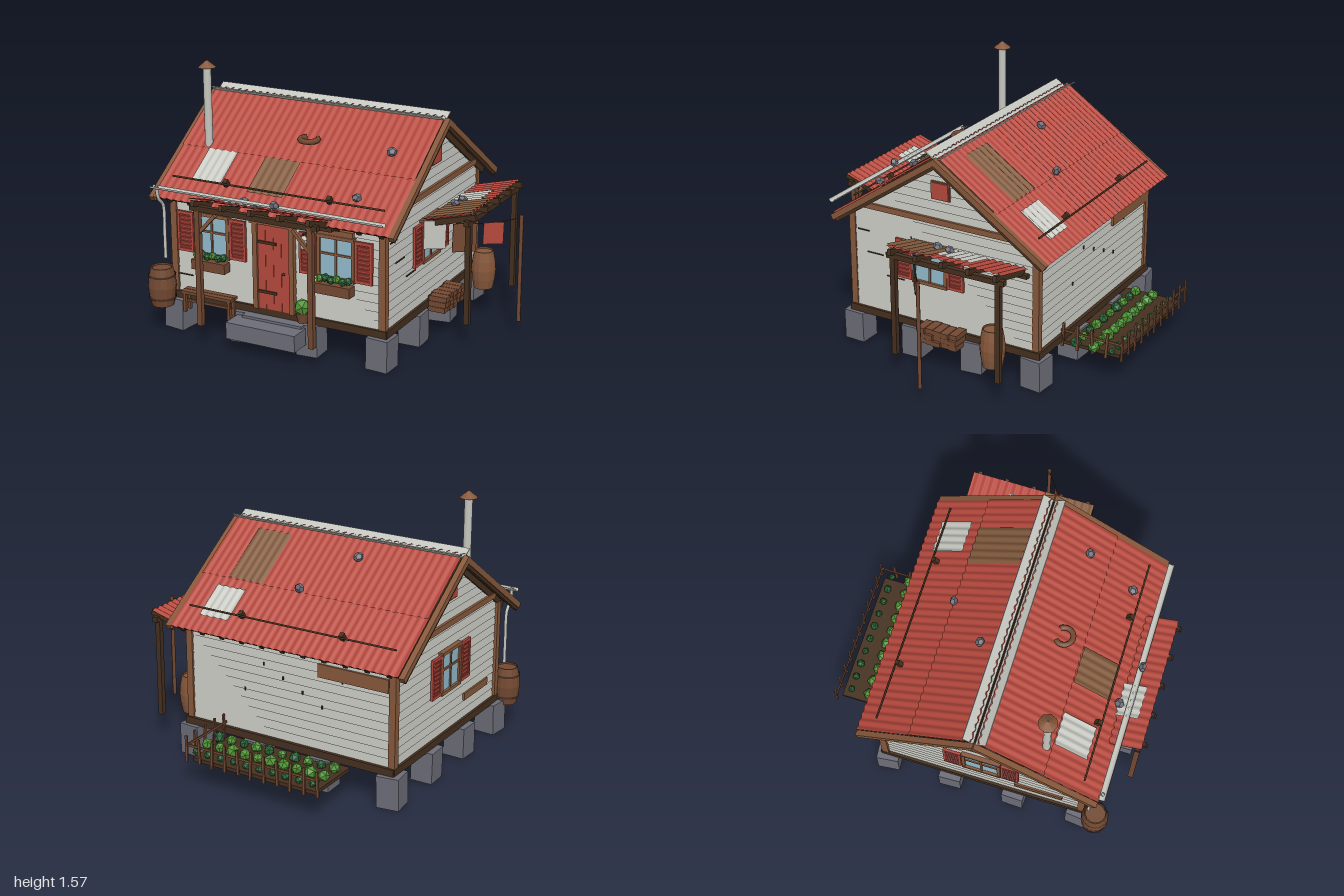
import * as THREE from 'three';

const mat = (name, color) => new THREE.MeshStandardMaterial({ name, color, side: THREE.DoubleSide });
const M = {
  red: mat('red paint', 0xb5483d), pale: mat('off-white', 0xc7c7c1), wood: mat('brown wood', 0x87583b),
  mid: mat('weathered brown', 0x734932), dark: mat('dark wood', 0x45301f), stone: mat('grey stone', 0x6c6d77),
  glass: mat('window glass', 0x93bccd), leaf: mat('leaf green', 0x4f9434), leafDark: mat('dark leaf', 0x2a6838),
  rust: mat('rusty metal', 0x80593c),
};
const add = (p, name, geo, m, x = 0, y = 0, z = 0, rx = 0, ry = 0, rz = 0) => {
  const o = new THREE.Mesh(geo, m);
  o.name = name; o.position.set(x, y, z); o.rotation.set(rx, ry, rz); p.add(o);
  return o;
};
const box = (p, name, m, w, h, d, ...at) => add(p, name, new THREE.BoxGeometry(w, h, d), m, ...at);
const cyl = (p, name, m, r0, r1, h, n, ...at) => add(p, name, new THREE.CylinderGeometry(r1, r0, h, n), m, ...at);
const group = (p, name, x = 0, y = 0, z = 0, rx = 0, ry = 0) => {
  const g = new THREE.Group();
  g.name = name; g.position.set(x, y, z); g.rotation.set(rx, ry, 0); p.add(g);
  return g;
};
// Corrugated sheet lying flat, waves running along x
const sheet = (p, name, m, x0, x1, z0, z1, y) => {
  const w = x1 - x0, cx = (x0 + x1) / 2, geo = new THREE.PlaneGeometry(w, z1 - z0, Math.ceil(w / 0.008), 1);
  geo.rotateX(-Math.PI / 2);
  const a = geo.attributes.position;
  for (let i = 0; i < a.count; i++) a.setY(i, 0.005 * Math.sin((a.getX(i) + cx) * 2 * Math.PI / 0.048));
  geo.computeVertexNormals();
  add(p, name, geo, m, cx, y, (z0 + z1) / 2);
};
const rock = (p, x, y, z, r = 0.03) => add(p, 'roofStone', new THREE.DodecahedronGeometry(r), M.stone, x, y, z, x * 9, z * 7).scale.set(1, 0.75, 1);
const XC = -0.185, ZC = 0.07, RIDGE = 1.315, RZ = 0.065, PITCH = 0.594, C = Math.cos(PITCH), LEN = 0.875;
const PI = Math.PI;

function foundation(g) {
  [-0.86, -0.415, 0.025, 0.475].forEach((x, i) => [0.68, 0.27, -0.135, -0.54].forEach((z, j) => {
    if (i % 3 && j % 3) return;
    box(g, 'footing', M.stone, 0.135, 0.19, 0.135, x, 0.1, z, 0, 0.07 * ((i * 3 + j * 5) % 4 - 1.5), 0.02 * ((i + j) % 3 - 1));
  }));
  box(g, 'lowerStep', M.stone, 0.45, 0.1, 0.13, -0.195, 0.13, 0.82);
  box(g, 'upperStep', M.stone, 0.39, 0.1, 0.08, -0.18, 0.145, 0.74);
  for (let i = 0; i < 14; i++) box(g, 'floorPlank', M.mid, 1.4, 0.03, 0.086, XC, 0.212, -0.53 + i * 0.0925);
  for (const z of [0.7, -0.565]) box(g, 'sillBeam', M.dark, 1.41, 0.045, 0.035, XC, 0.215, z);
  for (const x of [-0.875, 0.505]) box(g, 'sillBeam', M.dark, 0.035, 0.045, 1.29, x, 0.215, ZC);
}

// Local z points out of the wall
function windowUnit(p, x, z, ry, planter) {
  const g = group(p, 'window', x, 0.62, z, 0, ry);
  box(g, 'pane', M.glass, 0.2, 0.23, 0.008, 0, 0, 0.018);
  for (const s of [-1, 1]) {
    box(g, 'jamb', M.wood, 0.02, 0.25, 0.03, s * 0.108, 0, 0.018);
    box(g, 'rail', M.wood, 0.236, 0.02, 0.035, 0, s * 0.122, 0.02);
    const q = group(g, 'shutter', s * 0.176, 0, 0.026);
    box(q, 'back', M.red, 0.09, 0.23, 0.006);
    for (const k of [-1, 1]) {
      box(q, 'stile', M.red, 0.016, 0.245, 0.016, k * 0.046, 0, 0.002);
      box(q, 'end', M.red, 0.1, 0.018, 0.016, 0, k * 0.113, 0.002);
    }
    for (let i = 0; i < 8; i++) box(q, 'louvre', M.red, 0.08, 0.022, 0.005, 0, -0.091 + i * 0.026, 0.006, 0.5);
  }
  box(g, 'mullion', M.wood, 0.012, 0.23, 0.012, 0, 0, 0.024);
  box(g, 'transom', M.wood, 0.2, 0.012, 0.012, 0, 0.02, 0.024);
  if (!planter) return;
  box(g, 'lintel', M.wood, 0.22, 0.04, 0.03, 0, 0.145, 0.018);
  box(g, 'flowerBox', M.mid, 0.225, 0.06, 0.06, 0, -0.175, 0.05);
  for (let i = 0; i < 6; i++)
    add(g, 'boxPlant', new THREE.IcosahedronGeometry(0.025), i % 3 ? M.leafDark : M.leaf, -0.09 + i * 0.036, -0.125 + (i % 2) * 0.01, 0.05, i, i);
}

function walls(g) {
  const hw = (y) => Math.max(0, Math.min(0.62, (1.28 - y) / 0.676));
  const s = new THREE.Shape();
  [[-0.62, 0.22], [0.62, 0.22], [0.62, 0.861], [0, 1.28], [-0.62, 0.861]].forEach(([a, b], i) => i ? s.lineTo(a, b) : s.moveTo(a, b));
  add(g, 'wallCore', new THREE.ExtrudeGeometry(s, { depth: 1.36, bevelEnabled: false }), M.pale, XC - 0.68, 0, ZC, 0, PI / 2);
  // Lapped siding on all four sides
  const sides = [[XC, 0.69, 0, 0], [XC, -0.55, PI, 0], [0.495, ZC, PI / 2, 1], [-0.865, ZC, -PI / 2, 1]];
  for (const [x, z, ry, gable] of sides) {
    const w = group(g, 'siding', x, 0, z, 0, ry);
    for (let y = 0.235; y < (gable ? 1.25 : 0.82); y += 0.052) {
      const a = gable ? hw(y) : 0.68, b = gable ? hw(y + 0.056) : 0.68, t = new THREE.Shape();
      t.moveTo(-a, 0); t.lineTo(a, 0); t.lineTo(b, 0.056); t.lineTo(-b, 0.056);
      add(w, 'board', new THREE.ExtrudeGeometry(t, { depth: 0.006, bevelEnabled: false }), M.pale, 0, y, 0.006, -0.13);
    }
    if (!gable) continue;
    box(w, 'tieBeam', M.wood, 1.13, 0.035, 0.03, 0, 0.9, 0.012);
    box(w, 'ventFrame', M.wood, 0.125, 0.11, 0.02, 0, 1.09, 0.01);
    box(w, 'vent', M.red, 0.11, 0.097, 0.008, 0, 1.09, 0.022);
  }
  for (const x of [-0.87, 0.49]) for (const z of [0.69, -0.55]) box(g, 'cornerPost', M.wood, 0.042, 0.61, 0.042, x, 0.535, z);
  // Cracks and repair boards
  for (const [y, z, w] of [[0.735, 0.61, 0.08], [0.6, 0.53, 0.11], [0.475, 0.39, 0.12]]) box(g, 'crack', M.dark, 0.006, 0.006, w, 0.511, y, z);
  box(g, 'crack', M.dark, 0.1, 0.006, 0.006, -0.8, 0.345, 0.706);
  for (let i = 0; i < 6; i++) box(g, 'crack', M.dark, 0.008, 0.02, 0.006, 0.1 - i * 0.13, 0.5 + (i * 7 % 4) * 0.06, -0.567);
  box(g, 'repairBoard', M.wood, 0.45, 0.08, 0.015, -0.62, 0.72, -0.567);
  box(g, 'repairBoard', M.wood, 0.015, 0.045, 0.3, -0.88, 0.37, 0.42);
  windowUnit(g, -0.605, 0.69, 0, true);
  windowUnit(g, 0.205, 0.69, 0, true);
  windowUnit(g, 0.495, 0.145, PI / 2);
  windowUnit(g, -0.865, 0.07, -PI / 2);
  // Door
  const d = group(g, 'door', -0.193, 0, 0.7);
  for (let i = 0; i < 4; i++) box(d, 'doorPlank', M.red, 0.05, 0.51, 0.02, -0.077 + i * 0.0515, 0.49, 0.01);
  for (const k of [-1, 1]) box(d, 'doorJamb', M.wood, 0.03, 0.56, 0.04, k * 0.119, 0.51, 0.01);
  box(d, 'doorLintel', M.wood, 0.3, 0.055, 0.045, 0, 0.775, 0.012);
  for (const y of [0.34, 0.64]) box(d, 'hinge', M.dark, 0.12, 0.016, 0.008, -0.04, y, 0.024);
  add(d, 'knob', new THREE.SphereGeometry(0.009, 8, 6), M.dark, 0.07, 0.47, 0.03);
}

function roof(g) {
  for (const s of [1, -1]) {
    const r = group(g, s > 0 ? 'frontSlope' : 'backSlope', 0, RIDGE, RZ, s * PITCH);
    const strip = (name, m, x0, x1, t0, t1, y) => sheet(r, name, m, x0, x1, Math.min(s * t0, s * t1), Math.max(s * t0, s * t1), y);
    strip('upperSheets', M.red, -0.952, 0.562, 0.015, 0.475, 0.008);
    strip('lowerSheets', M.red, -0.952, 0.562, 0.45, LEN, 0);
    box(r, 'roofDeck', M.dark, 1.5, 0.012, LEN - 0.02, -0.195, -0.016, s * LEN / 2);
    for (const x of [-0.968, 0.577]) {
      box(r, 'bargeBoard', M.wood, 0.034, 0.035, LEN, x, -0.022, s * LEN / 2);
      box(r, 'bargeTrim', M.dark, 0.02, 0.02, LEN - 0.02, x, -0.048, s * LEN / 2);
    }
    for (let i = 0; i < 11; i++) box(r, 'rafter', M.dark, 0.028, 0.035, LEN - 0.05, -0.87 + i * 0.137, -0.04, s * (LEN / 2 + 0.005));
    // Patches
    const patches = s > 0 ? [[M.pale, -0.76, -0.565, 0.46, 0.655], [M.rust, -0.38, -0.155, 0.46, 0.68]]
      : [[M.pale, 0.205, 0.405, -0.57, -0.38], [M.rust, 0.135, 0.37, -0.325, -0.005]];
    for (const [m, x0, x1, z0, z1] of patches) strip('roofPatch', m, x0, x1, Math.abs(z0 - RZ) / C, Math.abs(z1 - RZ) / C, 0.014);
    // Snow rail and stones
    cyl(r, 'snowRail', M.dark, 0.006, 0.006, 1.37, 6, -0.195, 0.03, s * 0.727, 0, 0, PI / 2);
    for (const x of [-0.53, 0.14]) box(r, 'railBracket', M.dark, 0.026, 0.04, 0.03, x, 0.02, s * 0.71);
    const rocks = s > 0 ? [[0.365, 0.33], [0.295, 0.62]] : [[-0.12, -0.315], [-0.365, -0.075]];
    for (const [x, z] of rocks) rock(r, x, 0.028, s * Math.abs(z - RZ) / C);
    // Upturned ridge flashing
    box(g, 'ridgeFlashing', M.pale, 1.52, 0.006, 0.075, -0.195, 1.313, RZ + s * 0.035, -s * 0.55);
  }
  add(g, 'gutter', new THREE.CylinderGeometry(0.018, 0.018, 1.5, 8, 1, true, PI, PI), M.pale, -0.2, 0.9, 0.807, 0, 0, PI / 2);
  const pipe = new THREE.CatmullRomCurve3([[0.9, 0.805], [0.82, 0.79], [0.77, 0.745], [0.6, 0.74], [0.44, 0.74]].map(([y, z]) => new THREE.Vector3(-0.915, y, z)));
  add(g, 'downpipe', new THREE.TubeGeometry(pipe, 16, 0.01, 8), M.pale);
  // Stove pipe
  cyl(g, 'stovePipe', M.pale, 0.024, 0.024, 0.5, 12, -0.79, 1.28, 0.43);
  cyl(g, 'pipeCap', M.wood, 0.055, 0.003, 0.042, 8, -0.79, 1.555, 0.43);
  add(g, 'horseshoe', new THREE.TorusGeometry(0.052, 0.017, 6, 14, PI * 1.5), M.mid, -0.165, 1.16, 0.345, PI / 2, 0, -PI / 4);
}

// Lean-to canopy, local z runs outward and upward
function awning(p, name, x, y, z, ry, w, depth, rise, postZ, postX, postMat, patches) {
  const g = group(p, name, x, 0, z, 0, ry), a = Math.atan2(rise, depth), L = Math.hypot(rise, depth);
  const t = group(g, 'canopy', 0, y, 0, -a);
  sheet(t, 'canopySheet', M.red, -w / 2, w / 2, 0.02, L, 0.012);
  for (const [m, x0, x1, z0, z1] of patches) sheet(t, 'canopyPatch', m, x0, x1, z0, z1, 0.022);
  for (let i = 0; i < 5; i++) box(t, 'canopyRafter', M.dark, 0.024, 0.035, L + 0.01, (i - 2) * (w - 0.08) / 4, -0.016, L / 2 + 0.01);
  const top = y + rise * postZ / depth - 0.04;
  box(g, 'canopyBeam', M.dark, w, 0.032, 0.032, 0, top, postZ);
  box(g, 'wallPlate', M.dark, w, 0.025, 0.03, 0, y - 0.03, 0.025);
  for (const s of [-1, 1]) box(g, 'canopyPost', postMat, 0.032, top - 0.15, 0.032, s * postX, (top + 0.15) / 2, postZ);
  return g;
}

function barrel(p, x, y, z, r, m, hoops) {
  const g = group(p, 'barrel', x, y, z);
  const prof = [[0, 0], [0.78, 0], [0.93, 0.06], [1, 0.118], [0.93, 0.176], [0.78, 0.236], [0.7, 0.236], [0.7, 0.226], [0, 0.226]];
  const geo = new THREE.LatheGeometry(prof.map(([a, b]) => new THREE.Vector2(a * r, b)), 14).toNonIndexed();
  geo.computeVertexNormals();
  add(g, 'staves', geo, m);
  for (const h of hoops)
    add(g, 'hoop', new THREE.CylinderGeometry(r * 0.925 + 0.003, r * 0.925 + 0.003, 0.014, 14, 1, true), M.dark, 0, h, 0);
}

function yard(g) {
  barrel(g, -0.915, 0.165, 0.785, 0.084, M.mid, [0.05, 0.186]);
  barrel(g, 0.645, 0.16, -0.35, 0.075, M.wood, []);
  // Bench
  for (const z of [0.76, 0.8]) box(g, 'benchSlat', M.mid, 0.34, 0.018, 0.036, -0.595, 0.28, z);
  for (const x of [-0.745, -0.445]) for (const z of [0.755, 0.805]) box(g, 'benchLeg', M.mid, 0.018, 0.115, 0.018, x, 0.215, z);
  box(g, 'benchStretcher', M.mid, 0.3, 0.014, 0.014, -0.595, 0.22, 0.78);
  // Potted plant and lantern
  cyl(g, 'pot', M.mid, 0.03, 0.042, 0.06, 10, 0.015, 0.25, 0.76);
  add(g, 'potPlant', new THREE.IcosahedronGeometry(0.052), M.leaf, 0.015, 0.31, 0.76, 0.3, 0.5);
  cyl(g, 'lantern', M.pale, 0.02, 0.024, 0.055, 6, 0.02, 0.685, 0.745);
  cyl(g, 'lanternTop', M.pale, 0.03, 0.005, 0.02, 6, 0.02, 0.722, 0.745);
  box(g, 'lanternArm', M.dark, 0.01, 0.01, 0.06, 0.02, 0.74, 0.725);
  // Stacked firewood
  for (let r = 0; r < 3; r++) for (let i = 0; i < 5; i++)
    box(g, 'firewood', M.mid, 0.11, 0.03, 0.05, 0.57 + 0.006 * ((i + r) % 3), 0.182 + r * 0.034, 0.145 - i * 0.054);
  box(g, 'woodBase', M.dark, 0.1, 0.09, 0.26, 0.565, 0.213, 0.037);
  // Clothesline with washing
  const A = new THREE.Vector3(0.52, 0.77, 0.27), B = new THREE.Vector3(0.985, 0.74, -0.08);
  cyl(g, 'linePole', M.mid, 0.012, 0.012, 0.655, 6, 0.985, 0.427, -0.08);
  const line = new THREE.QuadraticBezierCurve3(A, new THREE.Vector3(0.75, 0.68, 0.095), B);
  add(g, 'clothesline', new THREE.TubeGeometry(line, 12, 0.003, 5), M.dark);
  for (const [t, m, w, h] of [[0.13, M.pale, 0.13, 0.17], [0.43, M.mid, 0.14, 0.17], [0.72, M.red, 0.12, 0.13]]) {
    const c = line.getPoint(t);
    box(g, 'washing', m, w, h, 0.006, c.x, c.y - h / 2, c.z, 0, Math.atan2(0.35, 0.465), -0.03);
  }
}

function garden(g) {
  box(g, 'gardenBed', M.dark, 0.82, 0.022, 0.36, -0.2, 0.172, -0.755);
  for (let i = 0; i < 10; i++) [[-0.89, 0.024, M.leafDark], [-0.775, 0.037, M.leaf], [-0.66, 0.032, i % 2 ? M.leafDark : M.leaf]].forEach(([z, r, m], j) =>
    add(g, 'cabbage', new THREE.IcosahedronGeometry(r * (0.9 + 0.1 * ((i + j) % 3))), m, -0.56 + i * 0.087, 0.2, z, i, j + i));
  // Picket fence
  for (let i = 0; i < 11; i++) box(g, 'picket', M.mid, 0.016, 0.15 + 0.012 * (i % 3), 0.01, -0.635 + i * 0.087, 0.24, -0.96, 0, 0, 0.05 * (i % 3 - 1));
  for (let i = 0; i < 4; i++) box(g, 'picket', M.mid, 0.01, 0.15 + 0.012 * (i % 2), 0.016, 0.242, 0.24, -0.585 - i * 0.094, 0.06 * (i % 3 - 1));
  box(g, 'fenceRail', M.mid, 0.89, 0.014, 0.008, -0.2, 0.263, -0.953);
  box(g, 'fenceRail', M.mid, 0.008, 0.014, 0.39, 0.235, 0.263, -0.765);
}

export function createModel() {
  const g = new THREE.Group();
  g.name = 'cottage';
  foundation(group(g, 'foundation'));
  walls(group(g, 'walls'));
  roof(group(g, 'roof'));
  const porch = awning(g, 'frontAwning', -0.2, 0.83, 0.73, 0, 0.815, 0.215, 0.075, 0.19, 0.362, M.mid, [[M.pale, -0.235, -0.035, 0.005, 0.16]]);
  for (const s of [-1, 1]) box(porch, 'brace', M.wood, 0.02, 0.17, 0.02, s * 0.307, 0.765, 0.19, 0, 0, s * 0.75);
  awning(g, 'sideAwning', 0.505, 0.735, -0.128, PI / 2, 0.765, 0.305, 0.08, 0.28, 0.342, M.dark,
    [[M.pale, -0.08, 0.132, 0.04, 0.245], [M.rust, -0.383, -0.078, 0.04, 0.316]]);
  for (const [x, y, z] of [[-0.365, 0.875, 0.745], [-0.125, 0.905, 0.815], [0.625, 0.8, -0.06], [0.615, 0.8, 0.025]]) rock(g, x, y, z);
  yard(group(g, 'yard'));
  garden(group(g, 'garden'));
  return g;
}
